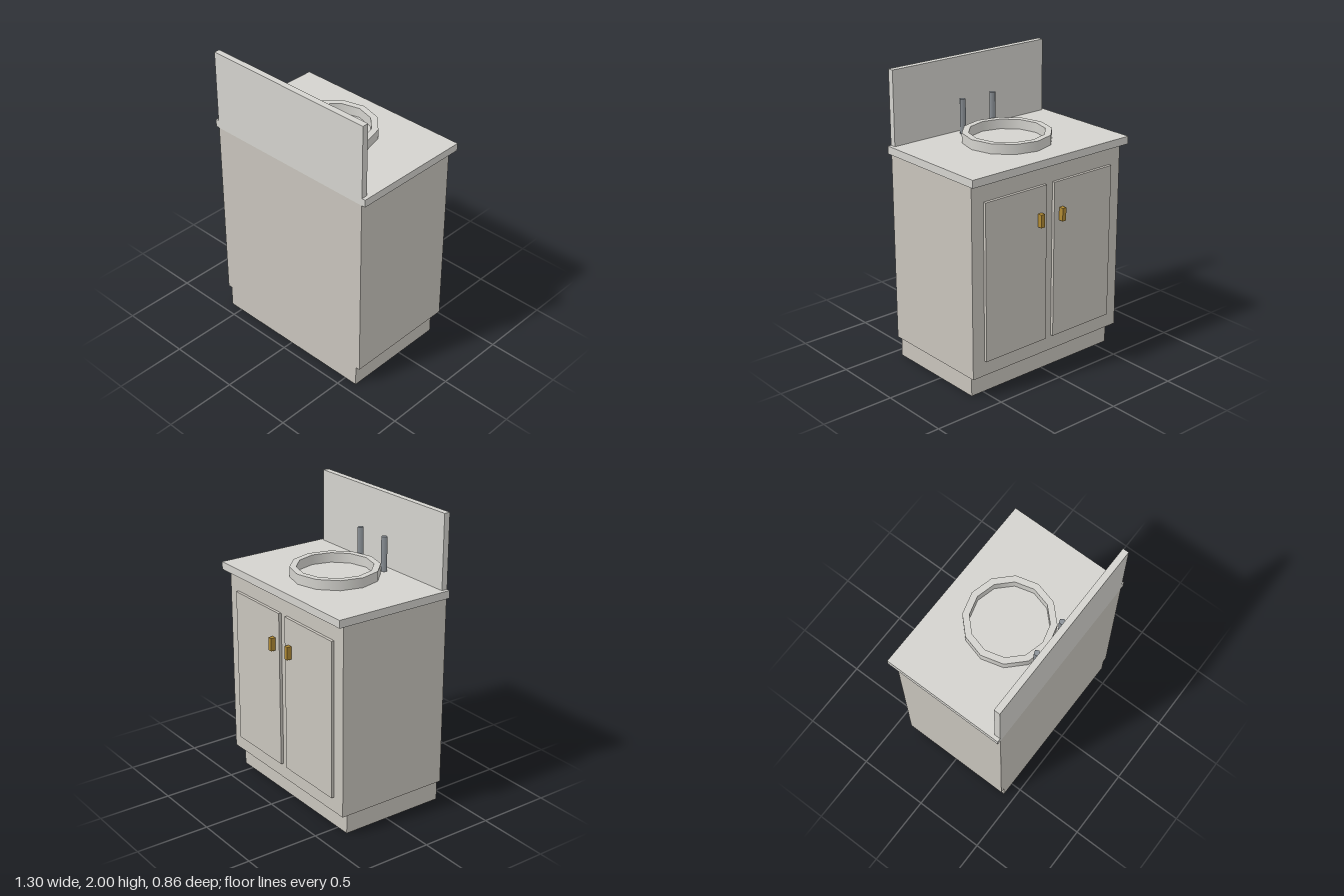
import * as THREE from 'three';

const paint = (color) => new THREE.MeshStandardMaterial({ color, side: THREE.DoubleSide });

export function createModel() {
  const model = new THREE.Group();
  model.name = 'washstand';
  const wood = paint(0xc8c4bc);
  const stone = paint(0xd4d3ce);
  const steel = paint(0x8c9298);
  const brass = paint(0xb08a34);

  const add = (name, geometry, material, parent = model) => {
    const mesh = new THREE.Mesh(geometry, material);
    mesh.name = name;
    parent.add(mesh);
    return mesh;
  };

  // Box given by its limits on each axis; an open one has no underside
  const box = (name, [x0, x1], [y0, y1], [z0, z1], material, open = false) => {
    const g = new THREE.BoxGeometry(x1 - x0, y1 - y0, z1 - z0);
    if (open) {
      const index = Array.from(g.index.array);
      index.splice(18, 6);
      g.setIndex(index);
      g.clearGroups();
    }
    g.translate((x0 + x1) / 2, (y0 + y1) / 2, (z0 + z1) / 2);
    return add(name, g, material);
  };

  const back = 0.427;

  // Hollow carcass on a recessed, hollow plinth
  box('plinth', [-0.593, 0.593], [0, 0.148], [-0.32, back], wood, true);
  box('cabinet', [-0.623, 0.623], [0.148, 1.45], [-0.375, back], wood, true);

  // Worktop and splashback
  box('countertop', [-0.65, 0.65], [1.45, 1.502], [-0.423, back], stone);
  box('splashback', [-0.625, 0.625], [1.502, 2], [0.385, back], stone);

  // Doors, handles and taps in mirrored pairs
  for (const side of [1, -1]) {
    const label = side > 0 ? 'left' : 'right';
    const span = (a, b) => (side > 0 ? [a, b] : [-b, -a]);
    box(label + 'Door', span(0.032, 0.53), [0.252, 1.322], [-0.395, -0.375], wood);
    box(label + 'Handle', span(0.075, 0.105), [1.057, 1.145], [-0.428, -0.395], brass);

    const tap = add(label + 'Tap', new THREE.CylinderGeometry(0.021, 0.021, 0.235, 5), steel);
    tap.rotation.y = Math.PI / 2;
    tap.position.set(side * 0.125, 1.619, 0.322);
  }

  // Raised basin rim: outer wall, inner wall and flat top
  const basin = new THREE.Group();
  basin.name = 'basin';
  basin.position.set(0, 1.502, 0.024);
  model.add(basin);
  const outer = 0.294, inner = 0.25, height = 0.066, sides = 12;
  for (const [name, r] of [['outerWall', outer], ['innerWall', inner]]) {
    const wall = new THREE.CylinderGeometry(r, r, height, sides, 1, true);
    add(name, wall.translate(0, height / 2, 0), stone, basin);
  }
  const rim = new THREE.RingGeometry(inner, outer, sides, 1).rotateX(-Math.PI / 2);
  add('rim', rim.translate(0, height, 0), stone, basin);

  return model;
}
